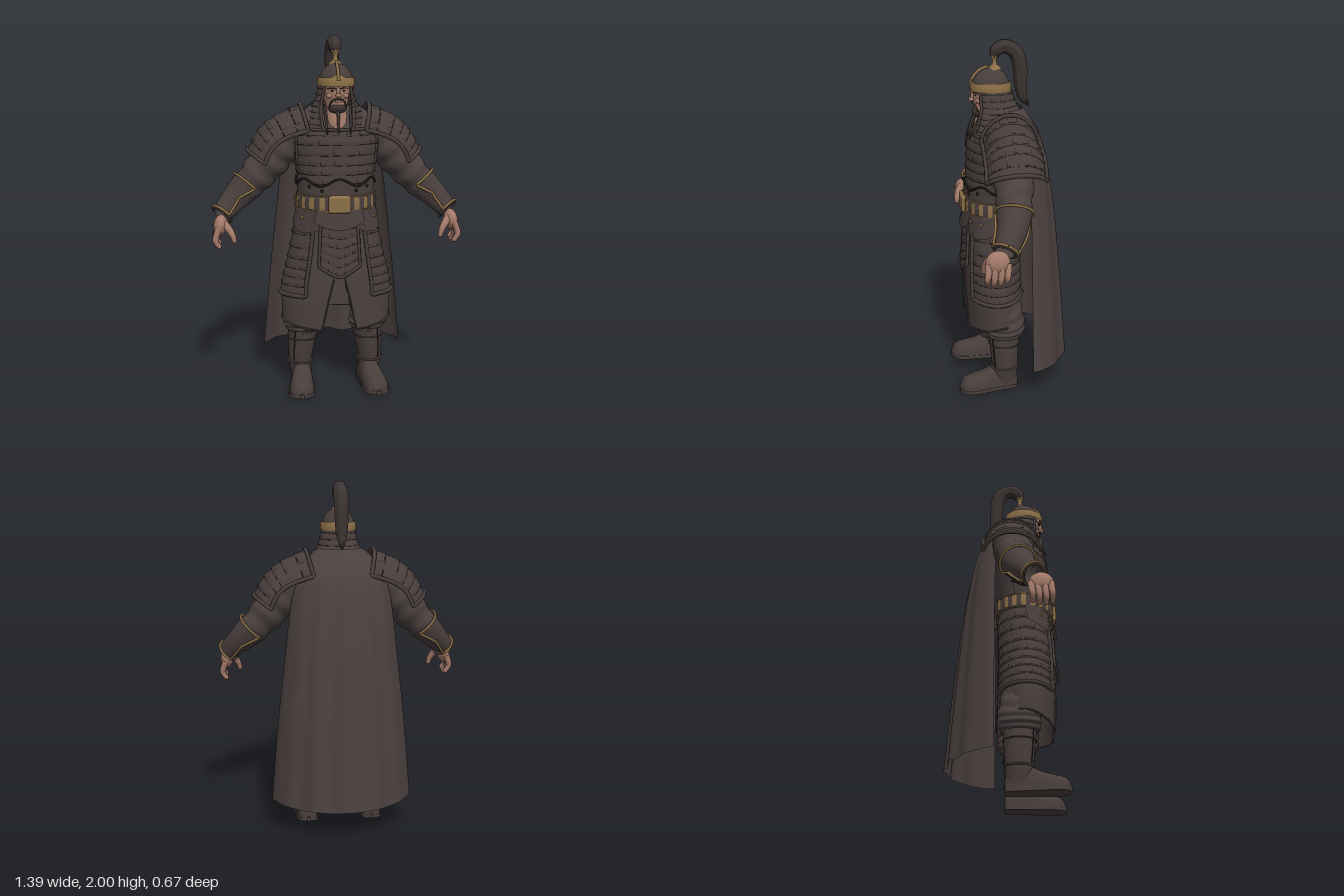
import * as THREE from 'three';
import { mergeGeometries, mergeVertices } from 'three/addons/utils/BufferGeometryUtils.js';
import { RoundedBoxGeometry } from 'three/addons/geometries/RoundedBoxGeometry.js';

const V = (x, y, z) => new THREE.Vector3(x, y, z);
const lerp = THREE.MathUtils.lerp, TAU = Math.PI * 2;
const flat = (name, color) => Object.assign(new THREE.MeshStandardMaterial({ color, side: THREE.DoubleSide }), { name });

export function createModel() {
  const M = {
    armor: flat('dark armor', 0x483e3c), cloth: flat('dark cloth', 0x4b4140), seam: flat('black seam', 0x1f1a19),
    gold: flat('old gold', 0x8c7048), skin: flat('skin', 0xa37a69), hair: flat('black hair', 0x3c3433),
  };
  const root = new THREE.Group();
  let seed = 7;
  const rnd = () => (seed = (seed * 16807) % 2147483647) / 2147483647;

  // ---- helpers: surfaces are functions (u, v) -> point, u around, v upward ----
  const add = (name, geo, mat, parent = root) => {
    const m = new THREE.Mesh(geo, mat);
    m.name = name;
    parent.add(m);
    return m;
  };
  const both = (name, build) => {
    const g = new THREE.Group();
    build(g);
    g.name = name + 'Left';
    const r = g.clone();
    r.name = name + 'Right';
    r.scale.x = -1;
    root.add(g, r);
  };
  const sample = (rows, t) => { // smooth interpolation of table rows
    const n = rows.length - 1, i = Math.max(0, Math.min(Math.floor(t * n), n - 1)), w = t * n - i;
    return rows[i].map((b, k) => {
      const a = rows[Math.max(i - 1, 0)][k], c = rows[i + 1][k], d = rows[Math.min(i + 2, n)][k];
      return b + 0.5 * w * (c - a + w * (2 * a - 5 * b + 4 * c - d + w * (3 * (b - c) + d - a)));
    });
  };
  const patch = (fn, nu, nv) => {
    const pos = [], idx = [];
    for (let j = 0; j <= nv; j++) for (let i = 0; i <= nu; i++) pos.push(...fn(i / nu, j / nv).toArray());
    for (let j = 0; j < nv; j++) for (let i = 0; i < nu; i++) {
      const a = j * (nu + 1) + i, b = a + nu + 1;
      idx.push(a, a + 1, b, a + 1, b + 1, b);
    }
    let g = new THREE.BufferGeometry();
    g.setAttribute('position', new THREE.Float32BufferAttribute(pos, 3));
    g.setIndex(idx);
    g = mergeVertices(g, 1e-5);
    g.computeVertexNormals();
    return g;
  };
  const lift = (fn, u, v, d) => { // point pushed out along the surface normal
    const e = 0.002, n = fn(u + e, v).sub(fn(u - e, v)).cross(fn(u, v + e).sub(fn(u, v - e))).normalize();
    return fn(u, v).addScaledVector(n, d);
  };
  const area = (fn, ua, ub, va, vb, d = 0) => (u, v) => lift(fn, lerp(ua, ub, u), lerp(va, vb, v), d);
  const sub = (fn, ua, ub, va, vb) => (u, v) => fn(lerp(ua, ub, u), lerp(va, vb, v));
  const ring = (rows, a0 = 0, a1 = TAU) => (u, v) => { // rows: y, centre x, centre z, radius x, radius z
    const [y, cx, cz, rx, rz] = sample(rows, v), a = lerp(a0, a1, u);
    return V(cx + rx * Math.sin(a), y, cz + rz * Math.cos(a));
  };
  const sweep = (rows, ref = V(0, 0, 1)) => (u, v) => { // rows: x, y, z, radius
    const p = sample(rows, v), c = V(...p), a = u * TAU;
    const t = V(...sample(rows, Math.min(1, v + 0.01))).sub(V(...sample(rows, Math.max(0, v - 0.01)))).normalize();
    const s = t.clone().cross(ref).normalize(), w = t.clone().cross(s);
    return c.addScaledVector(s, p[3] * Math.cos(a)).addScaledVector(w, p[3] * Math.sin(a));
  };
  const trim = (fn, uvs, r) => {
    const pts = [];
    for (let k = 0; k < uvs.length - 1; k++) for (let i = k ? 1 : 0; i <= 10; i++)
      pts.push(lift(fn, lerp(uvs[k][0], uvs[k + 1][0], i / 10), lerp(uvs[k][1], uvs[k + 1][1], i / 10), r * 0.8));
    return new THREE.TubeGeometry(new THREE.CatmullRomCurve3(pts), pts.length * 2, r, 6);
  };
  const loop = v => [[0, v], [0.25, v], [0.5, v], [0.75, v], [1, v]];
  // overlapping rows of plates with dark broken seams
  const lamellar = (name, fn, rows, cols, parent = root, lip = 0.01, nu = 36) => {
    const plates = [], seams = [];
    for (let r = 0; r < rows; r++) {
      const h = 1 / rows, v0 = r * h;
      plates.push(patch((u, w) => {
        const k = Math.max(0, w * 3 - 1) / 2;
        return lift(fn, u, v0 + h * k, w === 0 ? 0 : lip * (1 - 0.7 * k));
      }, nu, 3));
      for (let c = 0; c < cols; c++) {
        const u0 = (c + 0.1 * rnd()) / cols, len = (0.45 + 0.45 * rnd()) / cols;
        if (rnd() < 0.8) seams.push(patch(area(fn, u0, u0 + len, v0 + 0.01 * h, v0 + 0.12 * h, lip + 0.002), 4, 1));
        if (rnd() < 0.5) seams.push(patch(area(fn, u0, u0 + 0.07 / cols, v0 + 0.05 * h, v0 + 0.5 * h, lip + 0.001), 1, 2));
      }
    }
    add(name, mergeGeometries(plates), M.armor, parent);
    add(name + 'Seams', mergeGeometries(seams), M.seam, parent);
  };
  const ball = (name, p, s, mat, parent = root) => {
    const m = add(name, new THREE.SphereGeometry(1, 20, 14), mat, parent);
    m.position.set(...p);
    m.scale.set(...s);
    return m;
  };

  // ---- torso, breastplate and waist guard ----
  const torso = ring([[0.98, 0, 0.09, 0.21, 0.155], [1.1, 0, 0.1, 0.205, 0.15], [1.2, 0, 0.09, 0.205, 0.155], [1.32, 0, 0.075, 0.225, 0.163],
    [1.45, 0, 0.06, 0.245, 0.168], [1.53, 0, 0.04, 0.235, 0.14], [1.62, 0, 0.04, 0.13, 0.1]]);
  add('torso', patch(torso, 48, 30), M.cloth);
  const chest = sub(torso, -0.27, 0.27, 0.33, 0.75);
  lamellar('breastplate', chest, 6, 11);
  add('breastplateRim', trim(chest, [[0.12, 0.2], [0.2, 1], [0.5, 0.97], [0.8, 1], [0.88, 0.2]], 0.009), M.armor);
  const waist = (u, v) => lift(torso, lerp(-0.3, 0.3, u), lerp(0.17, 0.345 + 0.03 * Math.cos((u - 0.5) * 24), v), 0.014);
  add('waistGuard', patch(waist, 60, 4), M.armor);
  add('waistGuardRim', trim(waist, [[0, 1], [0.2, 1], [0.4, 1], [0.5, 1], [0.6, 1], [0.8, 1], [1, 1]], 0.006), M.seam);
  for (const u of [0.28, 0.38, 0.62, 0.72]) ball('waistStud', waist(u, 0.72).toArray(), [0.009, 0.009, 0.009], M.seam);

  // ---- belt with plates and buckle ----
  const belt = ring([[1.055, 0, 0.095, 0.22, 0.17], [1.065, 0, 0.095, 0.226, 0.176], [1.125, 0, 0.095, 0.224, 0.175], [1.135, 0, 0.095, 0.215, 0.165]]);
  add('belt', patch(belt, 56, 8), M.armor);
  const beltPlates = [];
  for (let i = 0; i < 22; i++) beltPlates.push(patch(area(belt, (i + 0.25) / 22, (i + 0.75) / 22, 0.3, 0.7, 0.006), 4, 2));
  add('beltPlates', mergeGeometries(beltPlates), M.gold);
  for (const v of [0.12, 0.88]) add('beltEdge', trim(belt, loop(v), 0.004), M.gold);
  add('buckle', new RoundedBoxGeometry(0.125, 0.096, 0.03, 4, 0.014), M.gold).position.set(0, 1.092, 0.27);

  // ---- long coat skirt, open at the front ----
  const skirtRows = [[0.42, 0, 0.105, 0.308, 0.16], [0.6, 0, 0.108, 0.308, 0.16], [0.8, 0, 0.108, 0.262, 0.157], [1.06, 0, 0.095, 0.208, 0.152]];
  const skirt = (u, v) => {
    const open = lerp(0.33, 0.03, Math.min(1, v * 1.5)), a = lerp(open, TAU - open, u);
    const p = ring(skirtRows, a, a)(0, v);
    p.y -= (1 - v) * 0.05 * Math.max(0, Math.cos(a));
    return p;
  };
  add('skirt', patch(skirt, 64, 20), M.cloth);
  add('skirtHem', trim(skirt, [[0, 0.5], [0, 0], [0.25, 0], [0.5, 0], [0.75, 0], [1, 0], [1, 0.5]], 0.005), M.armor);
  both('tasset', g => {
    const side = sub(ring(skirtRows, 0.64, 2.75), 0, 1, 0.28, 0.97);
    lamellar('sidePlates', side, 8, 14, g);
    add('tassetBorder', trim(side, [[0, 1], [0, 0], [0.5, 0], [1, 0]], 0.012), M.armor, g);
    const flap = sub(ring(skirtRows, 0.25, 1.5), 0, 1, 0.86, 0.99);
    add('hipFlap', patch((u, v) => lift(flap, u, lerp(-0.35 * Math.sin(u * Math.PI), 1, v), 0.018), 20, 4), M.armor, g);
    for (const u of [0.25, 0.6]) ball('hipStud', lift(flap, u, 0.4, 0.02).toArray(), [0.009, 0.009, 0.007], M.gold, g);
  });
  // pointed front apron
  const apron = (u, v) => {
    const s = u * 2 - 1, x = s * lerp(0.112, 0.1, v);
    return V(x, lerp(0.685 + 0.06 * Math.pow(Math.abs(s), 1.3), 1.0, v), lerp(0.283, 0.262, v) - x * x * 1.8);
  };
  lamellar('frontApron', apron, 6, 5, root, 0.008, 16);
  add('apronBorder', trim(apron, [[0, 1], [0, 0], [0.5, 0], [1, 0], [1, 1]], 0.009), M.armor);
  add('apronTop', patch((u, v) => {
    const s = u * 2 - 1;
    return V(s * lerp(0.14, 0.12, v), lerp(0.95 + 0.045 * s * s, 1.07, v), 0.288 - 1.6 * (s * 0.13) ** 2 - v * 0.02);
  }, 16, 3), M.armor);

  // ---- trousers and boots ----
  both('leg', g => {
    const leg = ring([[0.32, 0.185, 0.065, 0.085, 0.085], [0.36, 0.192, 0.065, 0.106, 0.115], [0.43, 0.197, 0.068, 0.106, 0.116],
      [0.58, 0.17, 0.085, 0.108, 0.11], [0.9, 0.11, 0.09, 0.1, 0.11]]);
    add('trousers', patch((u, v) => lift(leg, u, v, 0.004 * Math.sin(v * 40 + 3 * Math.sin(u * TAU))), 32, 50), M.cloth, g);
    const shaft = ring([[0.04, 0.198, 0.065, 0.06, 0.07], [0.13, 0.205, 0.065, 0.066, 0.074], [0.24, 0.197, 0.067, 0.078, 0.082], [0.345, 0.186, 0.068, 0.088, 0.088]]);
    add('bootShaft', patch(shaft, 32, 16), M.armor, g);
    for (const [v, r] of [[0.98, 0.008], [0.78, 0.004], [0.36, 0.006]]) add('bootStrap', trim(shaft, loop(v), r), M.armor, g);
    add('bootSeam', trim(shaft, [[0.1, 0.4], [0.1, 0.95]], 0.003), M.seam, g);
    // rows: z, centre x, half width, height
    const foot = [[-0.014, 0.19, 0.01, 0.03], [0.0, 0.19, 0.048, 0.1], [0.06, 0.195, 0.06, 0.135], [0.13, 0.2, 0.062, 0.135], [0.19, 0.207, 0.068, 0.108],
      [0.25, 0.212, 0.071, 0.092], [0.305, 0.216, 0.058, 0.075], [0.333, 0.218, 0.012, 0.03]];
    const shoe = (grow, top) => (u, v) => {
      const [z, cx, w, h] = sample(foot, v), a = u * TAU, s = Math.sin(a), c = Math.cos(a);
      return V(cx - (w + grow) * Math.sign(c) * Math.pow(Math.abs(c), 0.7), Math.min(top, Math.max(0, h * Math.pow(Math.max(s, 0), 0.8))), z);
    };
    add('bootFoot', patch(shoe(0, 1), 36, 24), M.armor, g);
    add('bootSole', patch(shoe(0.004, 0.02), 36, 24), M.armor, g);
  });

  // ---- arms, bracers and hands ----
  both('arm', g => {
    const arm = sweep([[0.2, 1.5, 0.03, 0.1], [0.3, 1.395, 0.035, 0.112], [0.385, 1.29, 0.045, 0.105], [0.48, 1.185, 0.06, 0.088], [0.565, 1.1, 0.09, 0.07], [0.642, 1.02, 0.14, 0.052]]);
    add('sleeve', patch((u, v) => lift(arm, u, v, 0.005 * Math.sin(v * 42 + 2 * Math.sin(u * TAU)) * (v < 0.65 ? 1 : 0)), 28, 50), M.cloth, g);
    add('wristCuff', trim(arm, loop(0.97), 0.008), M.armor, g);
    // outer forearm plate framed in gold
    const plate = area(arm, 0.17, 0.8, 0.61, 0.96, 0.008);
    add('bracer', patch(plate, 24, 14), M.armor, g);
    add('bracerTrim', trim(plate, [[0.5, 1], [0, 1], [0.08, 0.5], [0, 0], [0.5, 0.03], [1, 0], [0.92, 0.5], [1, 1], [0.5, 1]], 0.0075), M.gold, g);
    ball('palm', [0.648, 0.975, 0.175], [0.038, 0.06, 0.064], M.skin, g).rotation.z = 0.15;
    const digit = (name, rows) => {
      add(name, patch(sweep(rows, V(0.2, 0, 1)), 10, 12), M.skin, g);
      const e = rows[rows.length - 1];
      ball(name + 'Tip', e.slice(0, 3), [e[3], e[3], e[3]], M.skin, g);
    };
    for (let i = 0; i < 4; i++) {
      const z = 0.122 + i * 0.034, l = [0.012, 0, 0, 0.012][i];
      digit('finger', [[0.655, 0.97, z, 0.019], [0.672, 0.925, z + 0.004, 0.0175], [0.675, 0.885 + l, z + 0.008, 0.016], [0.656, 0.856 + l, z + 0.008, 0.013]]);
    }
    digit('thumb', [[0.635, 0.995, 0.19, 0.024], [0.605, 0.965, 0.22, 0.021], [0.583, 0.93, 0.234, 0.017], [0.574, 0.9, 0.238, 0.013]]);

    // curved shoulder guard: ridge rows from outer edge to neck, drooping front and back
    const ridge = [[0.48, 1.37], [0.425, 1.47], [0.335, 1.55], [0.19, 1.615]];
    const guard = (u, v) => {
      const [x, y] = sample(ridge, v), th = lerp(1.25, -1.25, u), d = (1 - Math.cos(th)) / 0.685;
      return V(x - lerp(0.085, 0.03, v) * d, y - lerp(0.06, 0.13, v) * d, 0.03 + lerp(0.16, 0.152, v) * Math.sin(th));
    };
    lamellar('shoulderGuard', guard, 6, 9, g, 0.009, 28);
    add('shoulderBorder', trim(guard, [[0.5, 1], [0, 1], [0, 0], [0.5, 0], [1, 0], [1, 1], [0.5, 1]], 0.012), M.armor, g);
  });

  // ---- cape ----
  const capeRows = [[0.172, 0, -0.065, 0.408, 0.262], [0.6, 0, -0.065, 0.37, 0.227], [1.0, 0, -0.065, 0.325, 0.188], [1.25, 0, -0.062, 0.295, 0.156],
    [1.45, 0, -0.05, 0.26, 0.125], [1.56, 0, -0.02, 0.2, 0.1], [1.63, 0, 0.03, 0.125, 0.1]];
  const cape = (u, v) => { // broad folds strongest at the middle of the hem
    const a = lerp(Math.PI / 2, Math.PI * 1.5, u), [y, , z, rx, rz] = sample(capeRows, v), c = Math.max(0, -Math.cos(a));
    const wave = Math.cos(13.5 * (a - Math.PI)) * c ** 3, f = 0.012 * (1 - v) * wave;
    return V((rx + f) * Math.sin(a), y + (1 - v) * (0.012 - 0.012 * c + 0.006 * wave), z - rz * c ** lerp(1.3, 1, v) - f);
  };
  add('cape', patch(cape, 90, 30), M.cloth);

  // ---- head ----
  add('neck', patch(ring([[1.46, 0, 0.09, 0.08, 0.105], [1.53, 0, 0.1, 0.074, 0.102], [1.62, 0, 0.1, 0.06, 0.075]]), 28, 8), M.skin);
  add('head', patch(ring([[1.58, 0, 0.15, 0.02, 0.03], [1.605, 0, 0.135, 0.052, 0.062], [1.66, 0, 0.115, 0.07, 0.086], [1.71, 0, 0.11, 0.076, 0.092], [1.77, 0, 0.11, 0.08, 0.095]]), 32, 16), M.skin);
  ball('noseBridge', [0, 1.695, 0.203], [0.01, 0.03, 0.014], M.skin);
  ball('noseTip', [0, 1.678, 0.212], [0.016, 0.012, 0.016], M.skin);
  ball('beard', [0, 1.608, 0.163], [0.05, 0.033, 0.046], M.hair);
  ball('mouth', [0, 1.644, 0.196], [0.02, 0.006, 0.007], M.skin);
  both('face', g => {
    ball('eye', [0.029, 1.703, 0.192], [0.011, 0.004, 0.006], M.seam, g);
    const strand = (name, rows) => add(name, patch(sweep(rows, V(0.1, 0.1, 1)), 8, 10), M.hair, g);
    strand('eyebrow', [[0.008, 1.712, 0.203, 0.003], [0.03, 1.718, 0.197, 0.004], [0.056, 1.714, 0.178, 0.002]]);
    strand('moustache', [[0, 1.659, 0.205, 0.004], [0.022, 1.656, 0.202, 0.005], [0.038, 1.64, 0.192, 0.005], [0.045, 1.615, 0.18, 0.004]]);
    strand('sideBraid', [[0.074, 1.63, 0.165, 0.006], [0.07, 1.58, 0.185, 0.007], [0.066, 1.53, 0.21, 0.007], [0.064, 1.47, 0.235, 0.004]]);
    ball('cheek', [0.04, 1.675, 0.178], [0.022, 0.016, 0.016], M.skin, g);
  });
  add('beardBraid', patch(sweep([[0, 1.595, 0.195, 0.012], [0, 1.56, 0.21, 0.008], [0, 1.52, 0.222, 0.008], [0, 1.475, 0.232, 0.004]]), 10, 12), M.hair);

  // ---- helmet, neck guard and plume ----
  const guardRows = [[1.49, 0, 0.05, 0.2, 0.165], [1.57, 0, 0.062, 0.15, 0.14], [1.65, 0, 0.085, 0.108, 0.115], [1.735, 0, 0.1, 0.089, 0.1]];
  const neckGuard = (u, v) => {
    const open = lerp(0.38, 0.82, Math.min(1, v * 1.6)), a = lerp(open, TAU - open, u);
    return ring(guardRows, a, a)(0, v);
  };
  lamellar('neckGuard', neckGuard, 8, 10, root, 0.008, 48);
  for (const u of [0, 1]) add('neckGuardEdge', trim(neckGuard, [[u, 1], [u, 0]], 0.009), M.armor);
  const dome = (u, v) => {
    const a = u * TAU, b = v * Math.PI / 2;
    return V(0.096 * Math.sin(a) * Math.cos(b), 1.737 + 0.111 * Math.sin(b), 0.105 + 0.107 * Math.cos(a) * Math.cos(b));
  };
  add('helmet', patch(dome, 36, 14), M.armor);
  // gold brow band rising to a crest over the forehead
  add('helmetBand', patch((u, v) => lift(dome, u, lerp(-0.06, 0.2 + 0.14 * Math.exp(-((Math.min(u, 1 - u) / 0.04) ** 2)), v), 0.007), 64, 4), M.gold);
  add('helmetRidge', trim(dome, [[0, 0.1], [0, 0.92]], 0.009), M.gold);
  const finial = [[0.04, 1.838], [0.03, 1.852], [0.014, 1.865], [0.012, 1.89], [0.02, 1.902], [0.024, 1.915], [0.014, 1.925]];
  add('finial', new THREE.LatheGeometry(finial.map(p => new THREE.Vector2(...p)), 20), M.gold).position.z = 0.083;
  const plume = sweep([[0, 1.9, 0.081, 0.018], [0, 1.935, 0.075, 0.034], [0, 1.962, 0.03, 0.037], [0, 1.93, -0.033, 0.04], [0, 1.85, -0.058, 0.039],
    [0, 1.75, -0.063, 0.034], [0, 1.68, -0.075, 0.024], [0, 1.632, -0.108, 0.003]], V(1, 0, 0));
  add('plume', patch((u, v) => lift(plume, u, v, 0.002 * Math.cos(u * TAU * 7)), 42, 40), M.hair);

  return root;
}
